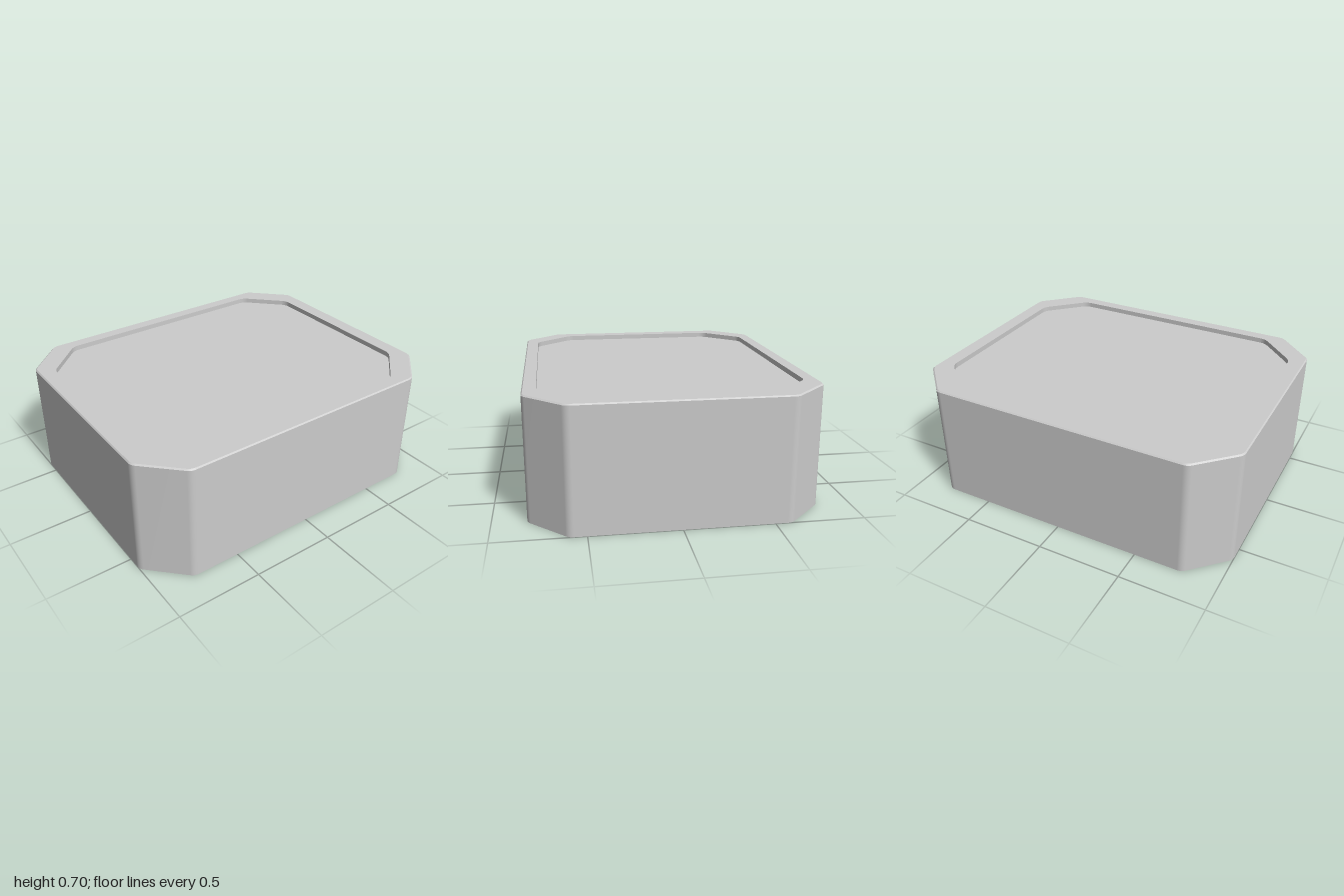
import * as THREE from 'three';

const material = new THREE.MeshStandardMaterial({ color: 0xcccccc, side: THREE.DoubleSide });

// Rectangle with cut corners, each vertex softly rounded; counter-clockwise points
function outline(halfX, halfZ, cut, round, steps = 5) {
  const corners = [];
  for (const [sx, sy] of [[1, 1], [-1, 1], [-1, -1], [1, -1]]) {
    const pair = [
      new THREE.Vector2(sx * halfX, sy * (halfZ - cut)),
      new THREE.Vector2(sx * (halfX - cut), sy * halfZ),
    ];
    corners.push(...(sx * sy > 0 ? pair : pair.reverse()));
  }
  return corners.flatMap((corner, i) => {
    const toward = (other) => other.clone().sub(corner).setLength(round).add(corner);
    const start = toward(corners[(i + 7) % 8]);
    const end = toward(corners[(i + 1) % 8]);
    return new THREE.QuadraticBezierCurve(start, corner, end).getPoints(steps);
  });
}

// Closed band of faces between two outlines at given heights
function band(name, lower, y0, upper, y1) {
  const n = lower.length;
  const positions = [];
  const index = [];
  lower.forEach((p) => positions.push(p.x, y0, -p.y));
  upper.forEach((p) => positions.push(p.x, y1, -p.y));
  for (let i = 0; i < n; i++) {
    const j = (i + 1) % n;
    index.push(i, j, n + j, i, n + j, n + i);
  }
  const geometry = new THREE.BufferGeometry();
  geometry.setAttribute('position', new THREE.Float32BufferAttribute(positions, 3));
  geometry.setIndex(index);
  geometry.computeVertexNormals();
  const mesh = new THREE.Mesh(geometry, material);
  mesh.name = name;
  return mesh;
}

export function createModel() {
  const model = new THREE.Group();
  model.name = 'openBottomCover';

  const top = 0.705;
  const bevel = 0.007;
  const panelY = top - 0.03;
  const outer = outline(1, 0.81, 0.217, 0.025);
  const edge = outline(1 - bevel, 0.81 - bevel, 0.215, 0.025);
  const inner = outline(0.905, 0.733, 0.225, 0.035);

  // Thin side wall, open underneath, with a fine bevel and flat rim on top
  model.add(
    band('sideWall', outer, 0, outer, top - bevel),
    band('topBevel', outer, top - bevel, edge, top),
    band('topRim', edge, top, inner, top),
    band('recessWall', inner, top, inner, panelY),
  );

  // Sunken top panel
  const panel = new THREE.Mesh(new THREE.ShapeGeometry(new THREE.Shape(inner)), material);
  panel.name = 'topPanel';
  panel.rotation.x = -Math.PI / 2;
  panel.position.y = panelY;
  model.add(panel);

  return model;
}
